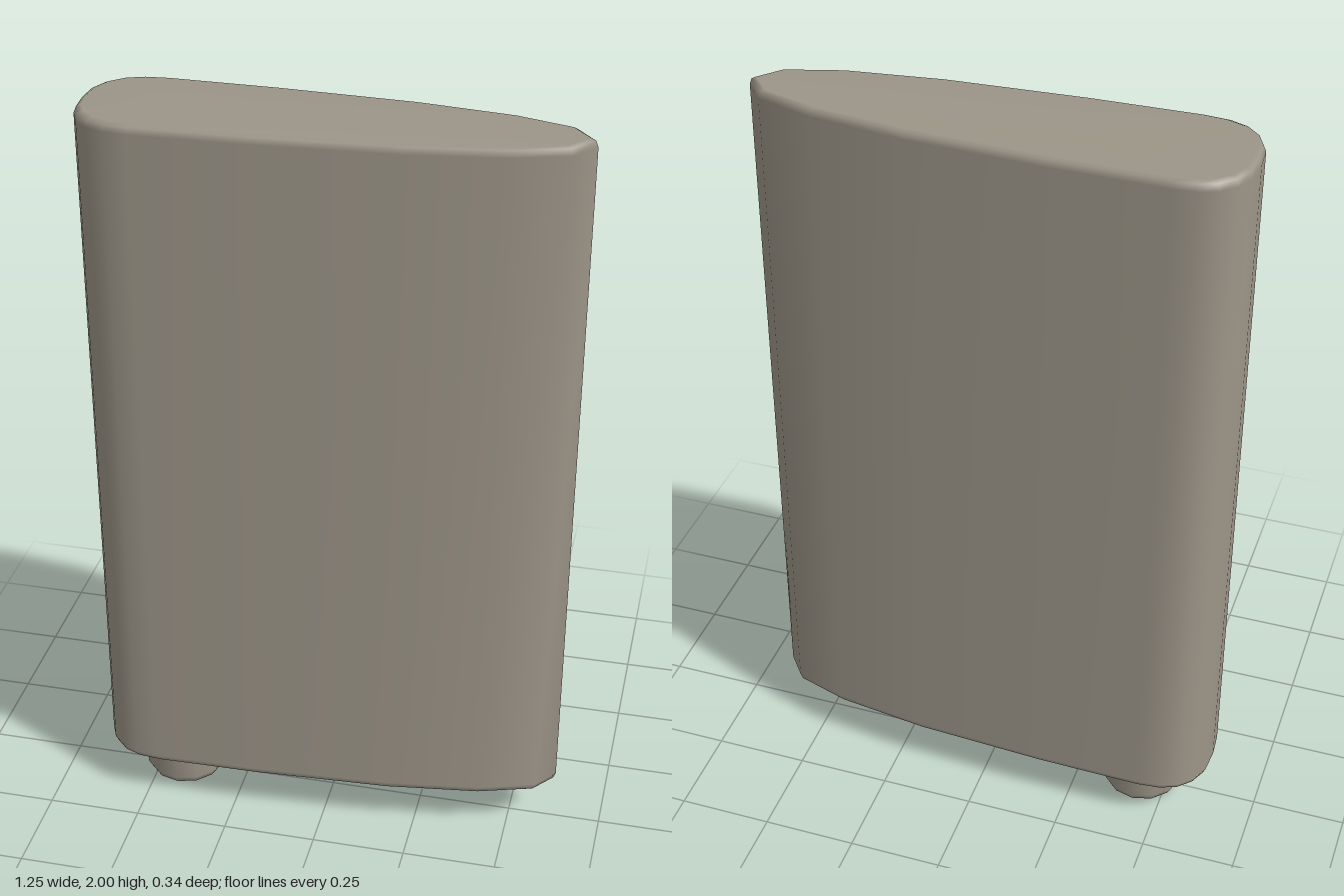
import * as THREE from 'three';

// Half outline of the foil, blunt nose to thin tail: [x, half thickness]
const HALF = [
  [-0.625, 0], [-0.62, 0.065], [-0.6, 0.11], [-0.565, 0.145], [-0.52, 0.163], [-0.46, 0.169],
  [-0.18, 0.164], [0.18, 0.144], [0.43, 0.109], [0.575, 0.062], [0.624, 0],
];

// Stack of foil sections with bevelled ends, closed by a fan at each end
function foilGeometry() {
  const outline = [...HALF, ...HALF.slice(1, -1).reverse().map(([x, z]) => [x, -z])];
  const sections = [
    { y: 0.125, sx: 0.972, sz: 0.9 },
    { y: 0.131, sx: 0.99, sz: 0.965 },
    { y: 0.147, sx: 1, sz: 1 },
    { y: 1.978, sx: 1, sz: 1 },
    { y: 1.994, sx: 0.99, sz: 0.965 },
    { y: 2, sx: 0.972, sz: 0.9 },
  ];
  const n = outline.length;
  const positions = [];
  const index = [];
  for (const { y, sx, sz } of sections) {
    for (const [x, z] of outline) positions.push(x * sx, y, z * sz);
  }
  const bottom = n * sections.length;
  const top = bottom + 1;
  positions.push(-0.1, 0.125, 0, -0.1, 2, 0);

  for (let i = 0; i < n; i++) {
    const j = (i + 1) % n;
    for (let s = 0; s < sections.length - 1; s++) {
      const a = s * n;
      const b = a + n;
      index.push(a + i, a + j, b + j, a + i, b + j, b + i);
    }
    const last = n * (sections.length - 1);
    index.push(bottom, j, i, top, last + i, last + j);
  }
  const geometry = new THREE.BufferGeometry();
  geometry.setAttribute('position', new THREE.Float32BufferAttribute(positions, 3));
  geometry.setIndex(index);
  geometry.computeVertexNormals();
  return geometry;
}

export function createModel() {
  const model = new THREE.Group();
  model.name = 'rudder';
  const metal = new THREE.MeshStandardMaterial({ color: 0x9c9588 });
  metal.name = 'warm grey';

  // Foil-shaped blade
  const blade = new THREE.Mesh(foilGeometry(), metal);
  blade.name = 'blade';
  model.add(blade);

  // Short pivot pin with a bevelled foot, sunk into the underside
  const pinProfile = [[0, 0], [0.085, 0], [0.1, 0.008], [0.112, 0.03], [0.112, 0.14]]
    .map(([r, y]) => new THREE.Vector2(r, y));
  const pin = new THREE.Mesh(new THREE.LatheGeometry(pinProfile, 12), metal);
  pin.name = 'pivotPin';
  pin.position.x = -0.428;
  model.add(pin);

  return model;
}
